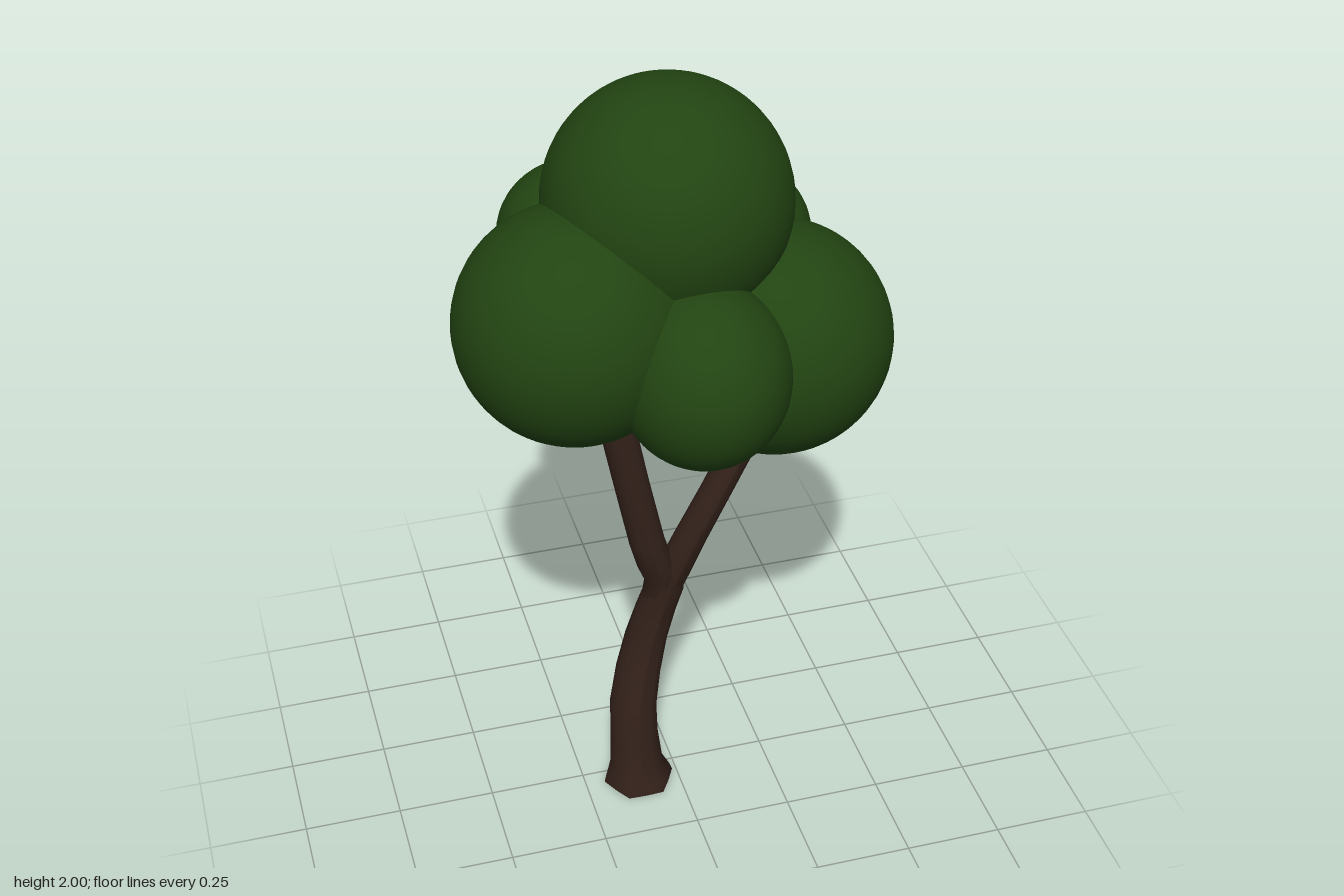
import * as THREE from 'three';

const bark = new THREE.MeshStandardMaterial({ color: 0x33211a });
const leaf = new THREE.MeshStandardMaterial({ color: 0x224412 });

// Bends a cylinder through horizontal rings [x, y, z, radius, rootLobe], bottom to top
function limb(name, rings) {
  const last = rings.length - 1;
  const geo = new THREE.CylinderGeometry(1, 1, 1, 12, last);
  const pos = geo.attributes.position;
  for (let i = 0; i < pos.count; i++) {
    const [x, y, z, r, lobe = 0] = rings[Math.round((pos.getY(i) + 0.5) * last)];
    const px = pos.getX(i), pz = pos.getZ(i);
    const k = r * (1 + lobe * Math.cos(6 * Math.atan2(pz, px)));
    pos.setXYZ(i, x + px * k, y, z + pz * k);
  }
  geo.computeVertexNormals();
  const mesh = new THREE.Mesh(geo, bark);
  mesh.name = name;
  return mesh;
}

// Leaf ball: centre and radii
function ball(name, centre, radii) {
  const mesh = new THREE.Mesh(new THREE.SphereGeometry(1, 48, 32), leaf);
  mesh.name = name;
  mesh.position.set(...centre);
  mesh.scale.set(...radii);
  return mesh;
}

export function createModel() {
  const tree = new THREE.Group();
  tree.name = 'tree';

  // Trunk with a flared, lobed foot
  tree.add(limb('trunk', [
    [-0.105, 0, 0.04, 0.089, 0.06],
    [-0.107, 0.025, 0.04, 0.083, 0.05],
    [-0.11, 0.06, 0.037, 0.07, 0.02],
    [-0.112, 0.14, 0.027, 0.065],
    [-0.11, 0.24, 0.012, 0.063],
    [-0.09, 0.34, -0.007, 0.06],
    [-0.065, 0.44, -0.017, 0.056],
    [-0.04, 0.53, -0.013, 0.053],
    [-0.02, 0.61, 0.002, 0.051],
    [-0.015, 0.66, 0.013, 0.043],
  ]));

  // Forked branches
  tree.add(limb('rightBranch', [
    [-0.035, 0.57, -0.005, 0.044],
    [-0.028, 0.64, 0.008, 0.046],
    [-0.05, 0.7, 0.022, 0.047],
    [-0.073, 0.78, 0.03, 0.046],
    [-0.11, 0.96, 0.03, 0.045],
    [-0.155, 1.19, 0.03, 0.045],
    [-0.18, 1.32, 0.03, 0.042],
  ]));
  tree.add(limb('leftBranch', [
    [-0.03, 0.57, -0.005, 0.044],
    [-0.005, 0.65, 0.01, 0.046],
    [0.04, 0.77, 0.027, 0.044],
    [0.105, 0.9, 0.028, 0.042],
    [0.195, 1.08, 0.025, 0.041],
    [0.25, 1.2, 0.025, 0.038],
  ]));

  // Foliage
  const foliage = new THREE.Group();
  foliage.name = 'foliage';
  foliage.add(
    ball('topFoliage', [0.002, 1.703, -0.045], [0.297, 0.297, 0.297]),
    ball('rightFoliage', [-0.25, 1.468, 0.055], [0.287, 0.287, 0.287]),
    ball('leftFoliage', [0.248, 1.335, 0.03], [0.287, 0.287, 0.285]),
    ball('backFoliage', [0.01, 1.388, -0.155], [0.287, 0.287, 0.287]),
    ball('frontFoliage', [0.012, 1.385, 0.218], [0.207, 0.226, 0.225]),
    ball('smallLeftFoliage', [0.215, 1.505, -0.175], [0.182, 0.185, 0.172]),
    ball('smallRightFoliage', [-0.18, 1.545, -0.22], [0.188, 0.18, 0.186]),
  );
  tree.add(foliage);
  return tree;
}
